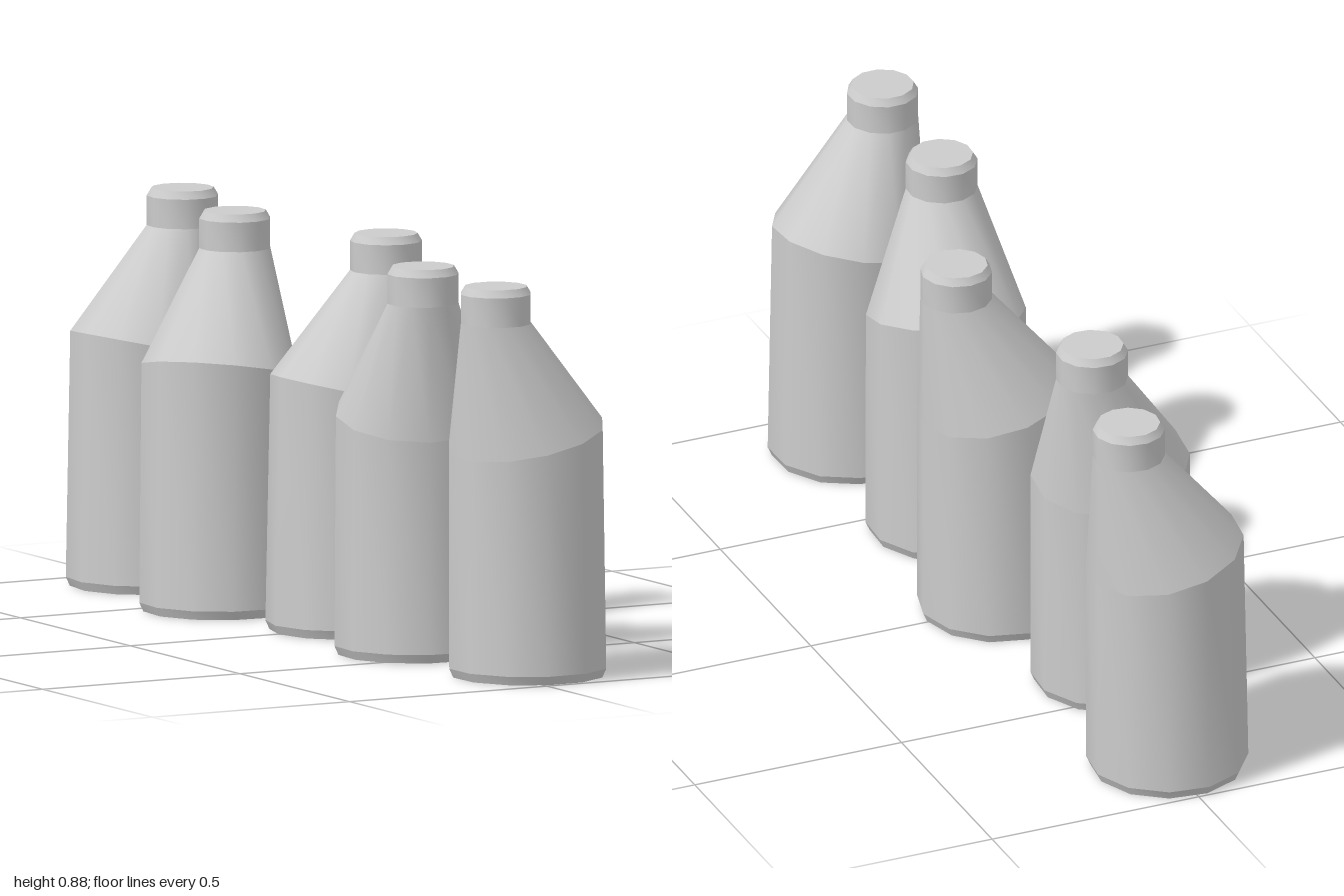
import * as THREE from 'three';
import { mergeGeometries } from 'three/addons/utils/BufferGeometryUtils.js';

const SIDES = 12;
const material = new THREE.MeshStandardMaterial({ color: 0xcccccc });

// Ring of points: centre shifted by cx towards the lean, tilted so the far side is higher
function ring(radius, y, cx = 0, tilt = 0) {
  return Array.from({ length: SIDES }, (_, i) => {
    const t = (i / SIDES) * Math.PI * 2;
    const u = radius * Math.cos(t);
    return [cx + u * Math.cos(tilt), y - u * Math.sin(tilt), radius * Math.sin(t)];
  });
}

// Smooth band between two rings, with hard edges at both ends
function band(low, high) {
  const index = [];
  for (let i = 0; i < SIDES; i++) {
    const j = (i + 1) % SIDES;
    index.push(i, SIDES + i, SIDES + j, i, SIDES + j, j);
  }
  const g = new THREE.BufferGeometry();
  g.setAttribute('position', new THREE.Float32BufferAttribute([...low, ...high].flat(), 3));
  g.setIndex(index);
  g.computeVertexNormals();
  return g;
}

// Flat disc facing up (dir 1) or down (dir -1)
function cap(radius, y, x, dir) {
  const g = new THREE.CircleGeometry(radius, SIDES);
  g.deleteAttribute('uv');
  return g.rotateX(-dir * Math.PI / 2).translate(x, y, 0);
}

function part(name, geometries) {
  const mesh = new THREE.Mesh(mergeGeometries(geometries), material);
  mesh.name = name;
  return mesh;
}

// One bottle whose neck leans towards +x
function createBottle() {
  const lean = 0.1;
  const foot = ring(0.171, 0);
  const base = ring(0.18, 0.02);
  const shoulder = ring(0.178, 0.535, 0.006, 0.228);
  const neckBottom = ring(0.08, 0.797, lean);
  const neckTop = ring(0.08, 0.863, lean);
  const lip = ring(0.07, 0.88, lean);

  const bottle = new THREE.Group();
  bottle.add(
    part('body', [cap(0.171, 0, 0, -1), band(foot, base), band(base, shoulder)]),
    part('shoulder', [band(shoulder, neckBottom)]),
    part('neck', [band(neckBottom, neckTop), band(neckTop, lip), cap(0.07, 0.88, lean, 1)])
  );
  return bottle;
}

export function createModel() {
  const model = new THREE.Group();
  model.name = 'bottleRow';
  // x, z and direction of lean in degrees (from +x towards +z)
  const places = [
    [-0.001, -0.823, -8],
    [-0.051, -0.401, -41],
    [0.046, 0.005, 0],
    [-0.003, 0.401, 108],
    [0.05, 0.823, 164],
  ];
  places.forEach(([x, z, degrees], i) => {
    const bottle = createBottle();
    bottle.name = `bottle${i + 1}`;
    bottle.position.set(x, 0, z);
    bottle.rotation.y = -THREE.MathUtils.degToRad(degrees);
    model.add(bottle);
  });
  return model;
}
